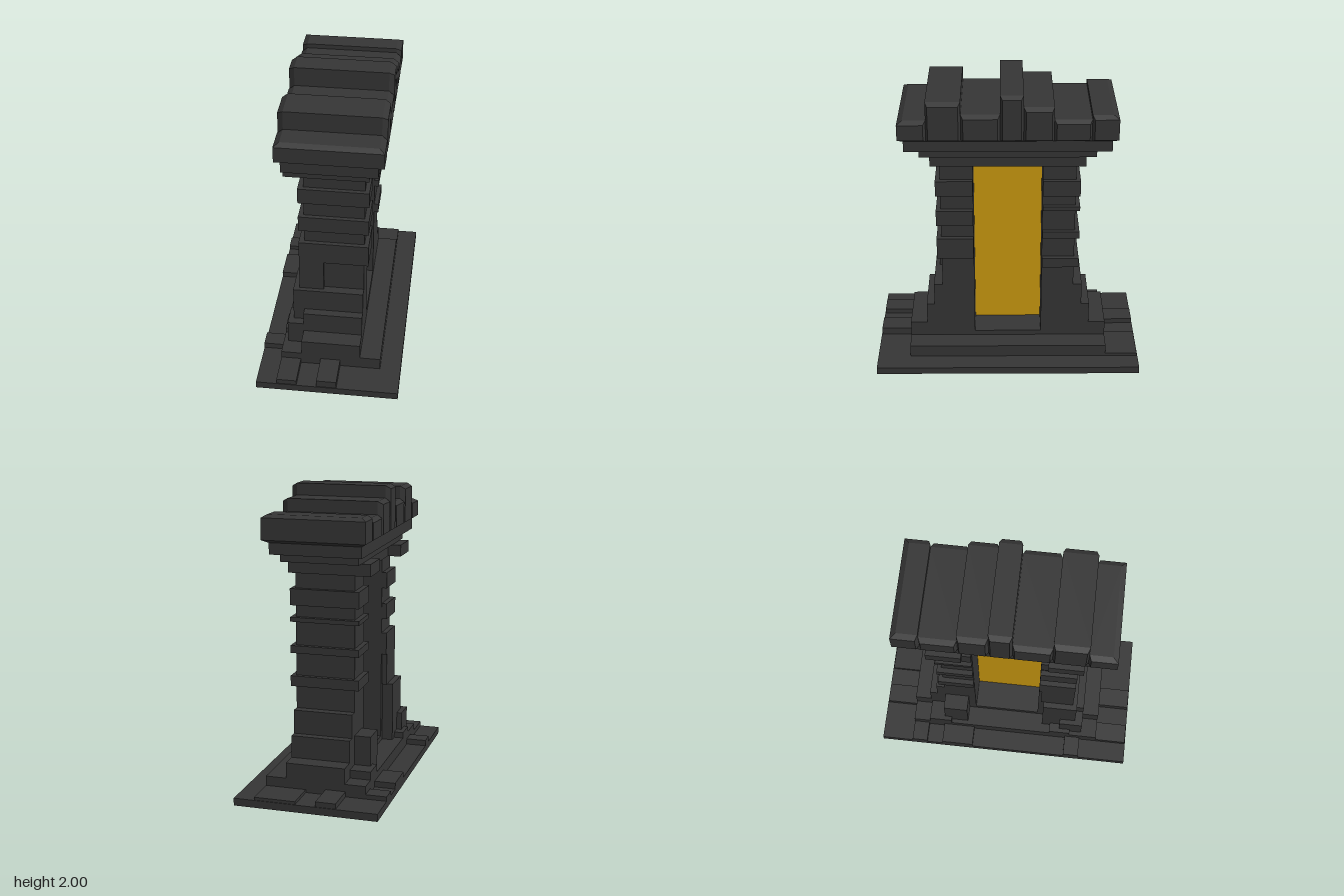
import * as THREE from 'three';
import { ConvexGeometry } from 'three/addons/geometries/ConvexGeometry.js';

export function createModel() {
  const model = new THREE.Group();
  const stone = new THREE.MeshStandardMaterial({ color: 0x353535 });
  stone.name = 'dark stone';
  const gold = new THREE.MeshStandardMaterial({ color: 0xcc9a10, side: THREE.DoubleSide });
  gold.name = 'gold';

  const add = (name, geometry, material = stone) => {
    const mesh = new THREE.Mesh(geometry, material);
    mesh.name = name;
    model.add(mesh);
    return mesh;
  };
  // Box given by its limits on each axis
  const block = (name, x0, x1, y0, y1, z0, z1) => {
    const mesh = add(name, new THREE.BoxGeometry(x1 - x0, y1 - y0, z1 - z0));
    mesh.position.set((x0 + x1) / 2, (y0 + y1) / 2, (z0 + z1) / 2);
  };

  // Base slab and plinth
  block('baseSlab', -0.48, 0.48, 0, 0.05, -0.905, 0.905);
  block('plinth', -0.34, 0.34, 0.05, 0.135, -0.68, 0.68);
  block('threshold', -0.2, 0.2, 0.135, 0.17, -0.24, 0.24);

  // Uneven paving around the plinth: x0, x1, top, z0, z1
  [
    [-0.07, 0.065, 0.1, 0.68, 0.9],
    [-0.34, -0.205, 0.085, 0.68, 0.9],
    [-0.205, -0.07, 0.085, -0.9, -0.68],
    [0.065, 0.34, 0.07, -0.9, -0.68],
    [-0.48, -0.34, 0.09, 0.45, 0.56],
    [-0.48, -0.34, 0.09, -0.455, -0.23],
    [-0.48, -0.34, 0.08, -0.68, -0.57],
  ].forEach(([x0, x1, top, z0, z1]) => block('pavingStone', x0, x1, 0.04, top, z0, z1));

  // Pillars with stepped feet
  for (const s of [1, -1]) {
    const span = (name, x0, x1, y0, y1, a, b) =>
      block(name, x0, x1, y0, y1, Math.min(a * s, b * s), Math.max(a * s, b * s));
    span('pillar', -0.2, 0.2, 0.13, 1.48, 0.23, 0.45);
    span('lowerStep', -0.2, 0.2, 0.13, 0.24, 0.44, 0.68);
    span('middleStep', -0.2, 0.2, 0.24, 0.39, 0.44, 0.565);
    span('upperStep', -0.2, 0.2, 0.39, 0.55, 0.44, 0.51);
    // Projecting stone courses
    const courses = s > 0
      ? [[1.25, 1.36], [1.03, 1.14], [0.775, 0.93]]
      : [[1.25, 1.36], [1.14, 1.17], [0.93, 0.98], [0.705, 0.775]];
    for (const [y0, y1] of courses) span('stoneCourse', -0.235, 0.23, y0, y1, 0.232, 0.48);
    // Corbel stones under the cap
    span('corbelStone', -0.32, -0.2, 1.47, 1.55, 0.28, 0.51);
  }

  // Odd stones leaning on the pillars
  block('cornerStone', -0.235, -0.07, 0.55, 0.775, 0.25, 0.48);
  block('buttress', -0.275, -0.19, 0.13, 0.55, 0.27, 0.51);
  block('buttress', -0.31, -0.19, 0.13, 0.3, 0.4, 0.565);
  block('buttress', -0.31, -0.19, 0.13, 0.39, -0.45, -0.28);
  block('footStone', -0.34, -0.19, 0.13, 0.19, -0.56, -0.4);
  block('footStone', -0.34, -0.19, 0.13, 0.175, 0.33, 0.48);

  // Gold panel in the doorway
  const panel = add('goldPanel', new THREE.BoxGeometry(0.006, 1.3, 0.46), gold);
  panel.position.set(0, 0.82, 0);

  // Lintel layers widening upward
  block('lintel', -0.23, 0.23, 1.47, 1.55, -0.51, 0.51);
  block('lowerCornice', -0.26, 0.26, 1.55, 1.61, -0.575, 0.575);
  block('upperCornice', -0.305, 0.3, 1.61, 1.7, -0.67, 0.67);

  // Bevelled cap stones: z0, z1, top
  [
    [0.523, 0.705, 1.83], [0.3, 0.523, 1.955], [0.05, 0.3, 1.87], [-0.1, 0.05, 2],
    [-0.295, -0.1, 1.92], [-0.535, -0.295, 1.835], [-0.705, -0.535, 1.865],
  ].forEach(([z0, z1, top]) => {
    const low = z0 < -0.7, high = z1 > 0.7, points = [];
    // Full-height core, set back from the exposed ends
    const c0 = low ? z0 + 0.035 : z0, c1 = high ? z1 - 0.035 : z1;
    // Smaller outer faces
    const e0 = low ? z0 : z0 + 0.015, e1 = high ? z1 : z1 - 0.015;
    for (const s of [-1, 1]) {
      for (const y of [1.685, top]) for (const z of [c0, c1]) points.push(new THREE.Vector3(s * 0.305, y, z));
      for (const y of [1.705, top - 0.02]) for (const z of [e0, e1]) points.push(new THREE.Vector3(s * 0.34, y, z));
    }
    add('capStone', new ConvexGeometry(points));
  });

  return model;
}
